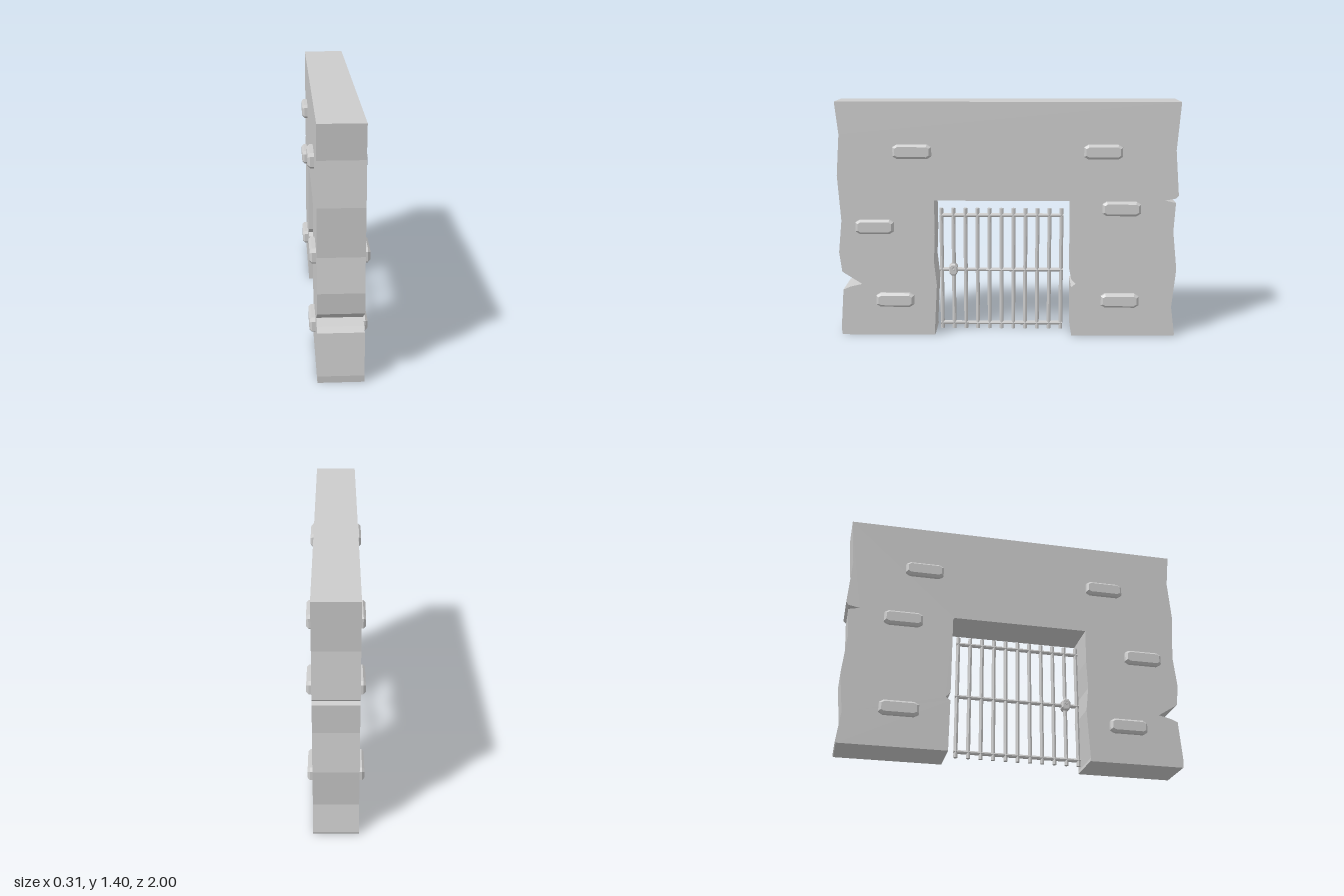
import * as THREE from 'three';

const material = new THREE.MeshStandardMaterial({ color: 0xcccccc, flatShading: true });

function addMesh(parent, geometry, name) {
  const mesh = new THREE.Mesh(geometry, material);
  mesh.name = name;
  parent.add(mesh);
  return mesh;
}

// Extrude a (z, y) outline through x, centred on x = 0
function extrudeAcross(points, width, bevel = 0) {
  const shape = new THREE.Shape(points.map(([z, y]) => new THREE.Vector2(z, y)));
  const depth = width - 2 * bevel;
  const geometry = new THREE.ExtrudeGeometry(shape, {
    depth, bevelEnabled: bevel > 0, bevelThickness: bevel, bevelSize: bevel,
    bevelOffset: -bevel, bevelSegments: 1,
  });
  geometry.translate(0, 0, -depth / 2);
  geometry.rotateY(-Math.PI / 2);
  return geometry;
}

// Rectangle with cut corners, centred on the origin
function cutRectangle(w, h, cz, cy) {
  const a = w / 2, b = h / 2;
  return [[-a + cz, -b], [a - cz, -b], [a, -b + cy], [a, b - cy],
    [a - cz, b], [-a + cz, b], [-a, b - cy], [-a, -b + cy]];
}

function bar(parent, radius, length, name) {
  return addMesh(parent, new THREE.CylinderGeometry(radius, radius, length, 8), name);
}

export function createModel() {
  const model = new THREE.Group();
  model.name = 'gatehouseWall';

  // Wall with worn ends, cracks and a doorway
  const frontEnd = [[0.995, 0], [1, 0.04], [0.982, 0.28], [0.94, 0.298], [0.868, 0.315],
    [0.985, 0.39], [1, 0.51], [0.98, 0.7], [0.998, 0.97], [0.98, 1.21], [1, 1.4]];
  const backEnd = [[-1, 1.4], [-0.978, 1.12], [-1, 0.855], [-0.985, 0.838], [-0.92, 0.826],
    [-0.985, 0.812], [-0.975, 0.64], [-1, 0.41], [-0.977, 0.18], [-1, 0.01], [-0.995, 0]];
  const doorway = [[-0.383, 0], [-0.378, 0.3], [-0.405, 0.32], [-0.378, 0.35], [-0.375, 0.81],
    [-0.368, 0.822], [0.432, 0.822], [0.43, 0.62], [0.437, 0.45], [0.422, 0.31], [0.438, 0.02], [0.435, 0]];
  addMesh(model, extrudeAcross([...frontEnd, ...backEnd, ...doorway], 0.248), 'wall');

  // Raised bricks on both faces
  const bricks = new THREE.Group();
  bricks.name = 'bricks';
  model.add(bricks);
  const brick = extrudeAcross(cutRectangle(0.224, 0.084, 0.025, 0.015), 0.08, 0.013);
  const places = [[0.555, 1.112], [-0.555, 1.112], [-0.667, 0.778],
    [0.782, 0.667], [0.67, 0.222], [-0.667, 0.222]];
  for (const side of [-1, 1]) {
    for (const [z, y] of places) {
      addMesh(bricks, brick, 'brick').position.set(side * 0.117, y, z);
    }
  }

  // Barred gate inside the doorway
  const gate = new THREE.Group();
  gate.name = 'gate';
  model.add(gate);
  for (let i = 0; i < 11; i++) {
    bar(gate, 0.012, 0.75, 'uprightBar').position.set(0, 0.38, 0.4 - i * 0.0722);
  }
  for (const y of [0.04, 0.376, 0.712]) {
    const rail = bar(gate, 0.012, 0.745, 'rail');
    rail.rotation.x = Math.PI / 2;
    rail.position.set(0, y, 0.039);
  }

  // Lock with a keyhole on each face
  const lock = new THREE.Group();
  lock.name = 'lock';
  lock.position.set(0, 0.378, 0.33);
  gate.add(lock);
  addMesh(lock, extrudeAcross(cutRectangle(0.05, 0.07, 0.013, 0.015), 0.055, 0.006), 'lockPlate');
  const ring = new THREE.TorusGeometry(0.009, 0.003, 6, 10);
  for (const side of [-1, 1]) {
    const keyRing = addMesh(lock, ring, 'keyholeRing');
    keyRing.rotation.y = Math.PI / 2;
    keyRing.position.set(side * 0.0275, 0.008, 0);
    addMesh(lock, new THREE.BoxGeometry(0.006, 0.016, 0.006), 'keyholeSlot')
      .position.set(side * 0.0275, -0.012, 0);
  }

  return model;
}
